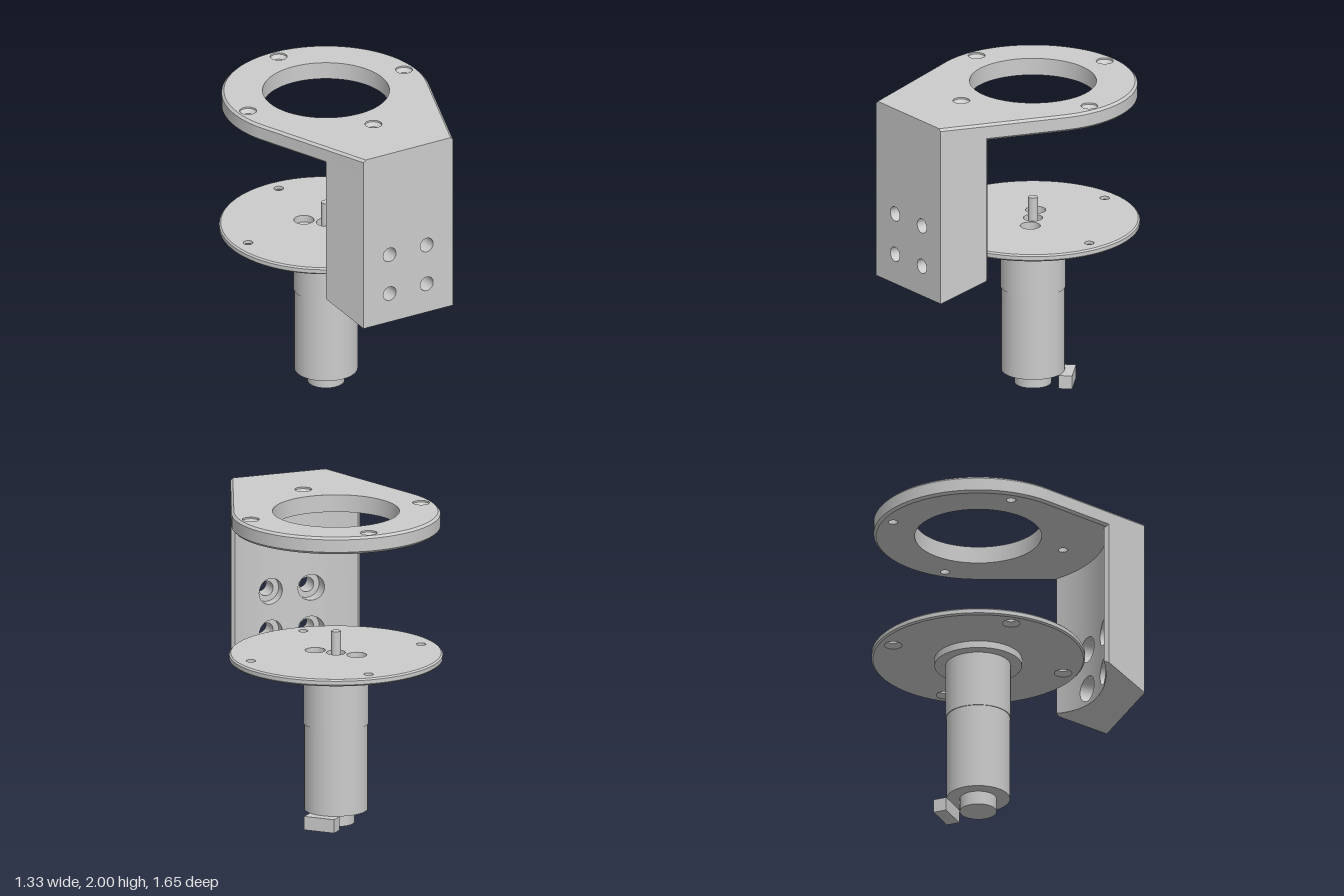
import * as THREE from 'three';
import { mergeGeometries, toCreasedNormals } from 'three/addons/utils/BufferGeometryUtils.js';

const CZ = -0.16; // z of the motor axis
const material = new THREE.MeshStandardMaterial({ color: 0xcccccc, side: THREE.DoubleSide });

function fromPositions(pos) {
  const g = new THREE.BufferGeometry();
  g.setAttribute('position', new THREE.Float32BufferAttribute(pos, 3));
  return g;
}

// Skin joining successive rings of [x, y, z] points
function loft(rings, closed = true) {
  const pos = [];
  for (let i = 0; i < rings.length - 1; i++) {
    const n = rings[i].length;
    for (let j = 0; j < (closed ? n : n - 1); j++) {
      const k = (j + 1) % n;
      const [a, b, c, d] = [rings[i][j], rings[i][k], rings[i + 1][k], rings[i + 1][j]];
      pos.push(...a, ...b, ...c, ...a, ...c, ...d);
    }
  }
  return fromPositions(pos);
}

// Flat face over [x, z] outlines, facing up or down
function cap(outline, holes, y, up) {
  const s = up ? -1 : 1;
  const vec = (pts) => pts.map(([x, z]) => new THREE.Vector2(x, s * z));
  const shape = new THREE.Shape(vec(outline));
  holes.forEach((h) => shape.holes.push(new THREE.Path(vec(h))));
  const g = new THREE.ShapeGeometry(shape).rotateX(s * Math.PI / 2).translate(0, y, 0).toNonIndexed();
  g.deleteAttribute('uv');
  g.deleteAttribute('normal');
  return g;
}

function circle(x, z, r, n = 32) {
  return Array.from({ length: n }, (_, k) => {
    const a = (k / n) * Math.PI * 2;
    return [x + r * Math.cos(a), z - r * Math.sin(a)];
  });
}

const lift = (pts, y) => pts.map(([x, z]) => [x, y, z]);

function mesh(name, parts) {
  const m = new THREE.Mesh(toCreasedNormals(mergeGeometries(parts), 0.5), material);
  m.name = name;
  return m;
}

// Horizontal plate with chamfered rim; each hole has a [radius, y] profile from top to bottom
function plate(name, outline, y0, y1, chamfer, holes) {
  const rim = [[chamfer, y0], [0, y0 + chamfer], [0, y1 - chamfer], [chamfer, y1]];
  const rings = (i) => holes.map((h) => circle(h.x, h.z, h.profile.at(i)[0], h.n));
  return mesh(name, [
    loft(rim.map(([inset, y]) => lift(outline(inset), y))),
    cap(outline(chamfer), rings(0), y1, true),
    cap(outline(chamfer), rings(-1), y0, false),
    ...holes.map((h) => loft(h.profile.map(([r, y]) => lift(circle(h.x, h.z, r, h.n), y)))),
  ]);
}

const screwSpots = [[0.567, CZ], [-0.567, CZ], [0, CZ - 0.567], [0, CZ + 0.567]];
const motorSpots = [[-0.1, CZ - 0.1], [0.1, CZ + 0.1]];
const drill = (spots, profile) => spots.map(([x, z]) => ({ x, z, profile }));

// Round end joined by tangent lines to a narrow front edge
function bracketOutline(inset) {
  const r = 0.65 - inset, fx = 0.325 - inset * 1.07, start = 0.358;
  const pts = [[fx, 0.825]];
  for (let k = 0; k <= 72; k++) {
    const a = start - (k / 72) * (Math.PI + 2 * start);
    pts.push([r * Math.cos(a), CZ + r * Math.sin(a)]);
  }
  pts.push([-fx, 0.825]);
  return pts;
}

// Upright wall: flat front, hollow back, sloping bottom, four counterbored holes
function wall() {
  const front = 0.825, top = 1.91, bore = 0.047, counterbore = 0.083;
  const holeX = [-0.135, 0.135], holeY = [1.035, 1.303], n = 32;
  const base = (z) => 0.84 + (front - z) * 0.42;
  const hollow = (x) => CZ + Math.sqrt(0.795 ** 2 - x * x);

  // Upright face in narrow strips, leaving the holes open
  function panel(half, r, zAt, facing) {
    const xs = [];
    for (let k = -8; k <= 8; k++) {
      const x = (half * k) / 8;
      if (holeX.every((c) => Math.abs(x - c) > r)) xs.push(x);
    }
    holeX.forEach((c) => {
      for (let k = 0; k <= n / 2; k++) xs.push(c + r * Math.cos((k * 2 * Math.PI) / n));
    });
    xs.sort((a, b) => a - b);
    const columns = xs.map((x) => {
      const h = Math.sqrt(Math.max(0, ...holeX.map((c) => r * r - (x - c) ** 2)));
      const ys = [base(zAt(x)), ...holeY.flatMap((y) => [y - h, y + h]), top];
      return ys.map((y) => [x, y, zAt(x)]);
    });
    return [0, 2, 4].map((i) => {
      const rows = [columns.map((c) => c[i]), columns.map((c) => c[i + 1])];
      return loft(facing > 0 ? rows : rows.reverse(), false);
    });
  }

  const side = [[0.325, front], [0.43, 0.545], [0.41, hollow(0.41)]];
  const mirrored = side.map(([x, z]) => [-x, z]).reverse();
  const sides = [side, mirrored].map((path) =>
    loft([path.map(([x, z]) => [x, base(z), z]), path.map(([x, z]) => [x, top, z])], false));

  const arc = Array.from({ length: 23 }, (_, k) => {
    const x = 0.41 * (1 - (k + 1) / 12);
    return [x, hollow(x)];
  });
  const bottom = cap([...side, ...arc, ...mirrored], [], 0, false);
  const p = bottom.attributes.position;
  for (let i = 0; i < p.count; i++) p.setY(i, base(p.getZ(i)));

  const bores = holeX.flatMap((x) => holeY.map((y) => {
    const ring = (r, zAt) => circle(x, -y, r, n).map(([px, py]) => [px, -py, zAt(px)]);
    return loft([ring(bore, () => front), ring(bore, () => 0.7),
      ring(counterbore, () => 0.7), ring(counterbore, hollow)]);
  }));
  return mesh('bracketWall', [
    ...panel(0.325, bore, () => front, 1),
    ...panel(0.41, counterbore, hollow, -1),
    ...sides, bottom, ...bores,
  ]);
}

function cylinder(name, r, y0, y1) {
  const m = new THREE.Mesh(new THREE.CylinderGeometry(r, r, y1 - y0, 48), material);
  m.position.set(0, (y0 + y1) / 2, CZ);
  m.name = name;
  return m;
}

export function createModel() {
  const group = new THREE.Group();
  group.name = 'motorMount';

  // Bracket: top plate with a large opening and countersunk screw holes, plus the wall
  group.add(plate('bracketTopPlate', bracketOutline, 1.89, 2, 0.015, [
    { x: 0, z: CZ, n: 64, profile: [[0.395, 2], [0.395, 1.89]] },
    ...drill(screwSpots, [[0.053, 2], [0.053, 1.99], [0.03, 1.967], [0.03, 1.89]]),
  ]));
  group.add(wall());

  // Round mounting disc, countersunk from below
  const disc = (r) => (inset) => circle(0, CZ, r - inset, 80);
  const shaftHole = [[0, CZ]];
  group.add(plate('mountingDisc', disc(0.665), 1.045, 1.09, 0.01, [
    ...drill(screwSpots, [[0.03, 1.09], [0.03, 1.07], [0.055, 1.045]]),
    ...drill(motorSpots, [[0.063, 1.09], [0.063, 1.045]]),
    ...drill(shaftHole, [[0.06, 1.09], [0.06, 1.045]]),
  ]));
  group.add(plate('discFlange', disc(0.272), 1, 1.045, 0, [
    ...drill(motorSpots, [[0.028, 1.045], [0.028, 1]]),
    ...drill(shaftHole, [[0.06, 1.045], [0.06, 1]]),
  ]));

  // Motor
  group.add(cylinder('motorShaft', 0.03, 0.95, 1.23));
  group.add(cylinder('motorGearbox', 0.203, 0.64, 1));
  group.add(cylinder('motorBody', 0.198, 0.087, 0.64));
  group.add(cylinder('motorRearBoss', 0.115, 0, 0.087));

  // Connector block set diagonally behind the motor
  const connector = new THREE.Mesh(new THREE.BoxGeometry(0.085, 0.087, 0.204), material);
  connector.name = 'motorConnector';
  connector.rotation.y = Math.PI / 4;
  connector.position.set(0.152, 0.0435, CZ - 0.152);
  group.add(connector);
  return group;
}
